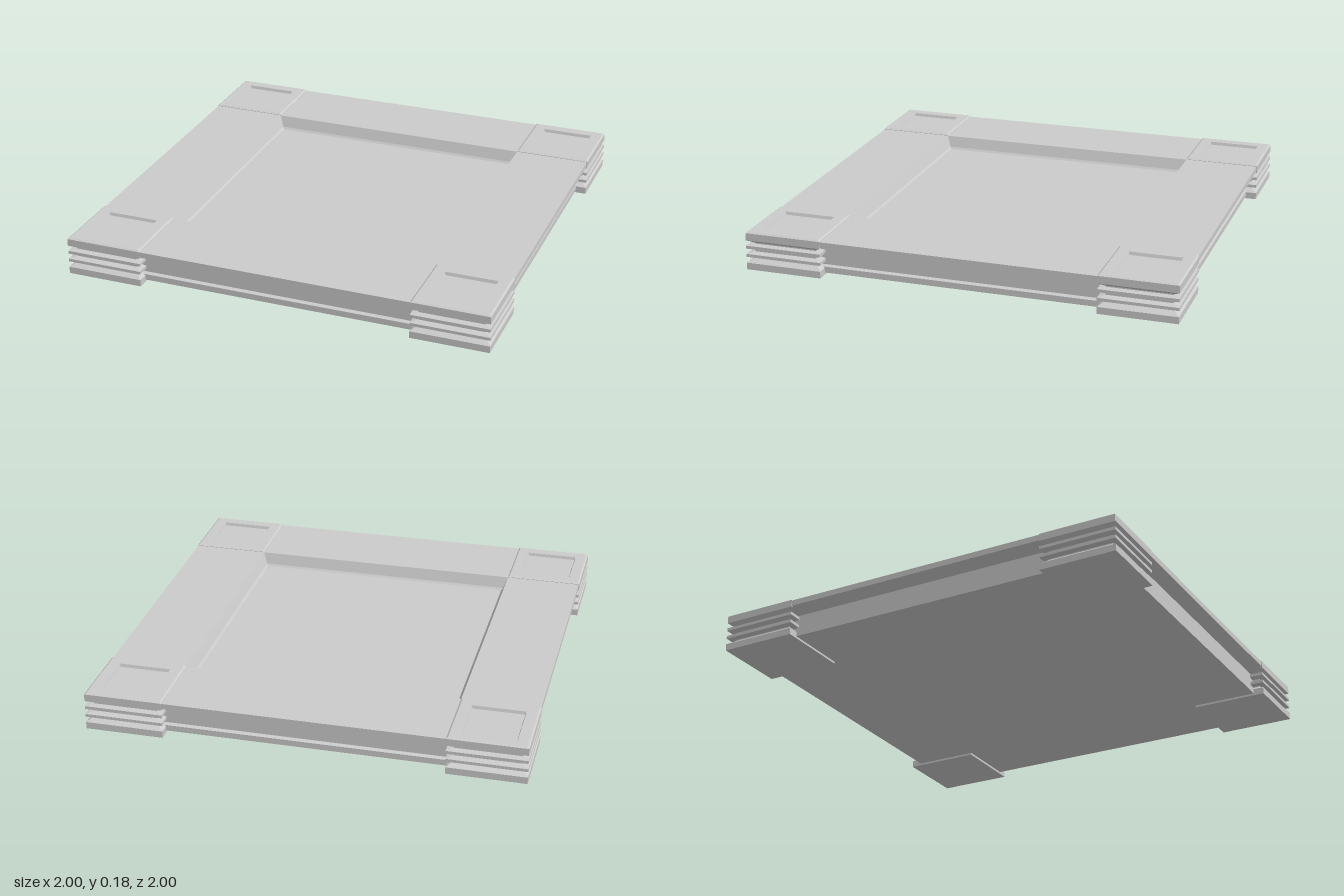
import * as THREE from 'three';

const material = new THREE.MeshStandardMaterial({ color: 0xcccccc, flatShading: true });

// Square moulding: each profile point is [half width, height], bottom centre to top centre
function squareTurned(profile) {
  const points = profile.map(([r, y]) => new THREE.Vector2(r * Math.SQRT2, y));
  return new THREE.LatheGeometry(points, 4).rotateY(Math.PI / 4).toNonIndexed();
}

export function createModel() {
  const group = new THREE.Group();
  const add = (name, geometry) => {
    const mesh = new THREE.Mesh(geometry, material);
    mesh.name = name;
    group.add(mesh);
    return mesh;
  };

  // Floor of the tray
  const floor = add('floor', new THREE.BoxGeometry(1.3, 0.1, 1.3));
  floor.position.y = 0.06;

  // Four side rails: [distance from centre, height], with foot ledge, panel, cap and sloped inner face
  const railShape = new THREE.Shape([
    [0.612, 0.01], [0.95, 0.01], [0.95, 0.038], [0.935, 0.045], [0.935, 0.12],
    [0.997, 0.145], [0.997, 0.172], [0.64, 0.172], [0.62, 0.12], [0.612, 0.11],
  ].map(([r, y]) => new THREE.Vector2(r, y)));
  const length = 1.34; // the ends run into the corner blocks
  const railGeometry = new THREE.ExtrudeGeometry(railShape, { depth: length, bevelEnabled: false });
  railGeometry.translate(0, 0, -length / 2);
  ['leftRail', 'backRail', 'rightRail', 'frontRail'].forEach((name, i) => {
    add(name, railGeometry).rotation.y = i * Math.PI / 2;
  });

  // Corner blocks: plinth, two fins, cap and a recessed square panel on top
  const cornerGeometry = squareTurned([
    [0, 0], [0.18, 0], [0.18, 0.032],
    [0.15, 0.053], [0.15, 0.058], [0.18, 0.06], [0.18, 0.074],
    [0.15, 0.08], [0.15, 0.095], [0.18, 0.1], [0.18, 0.114],
    [0.15, 0.117], [0.15, 0.122], [0.18, 0.14], [0.18, 0.174],
    [0.172, 0.18], [0.122, 0.18], [0.117, 0.166], [0, 0.166],
  ]);
  for (const x of [-1, 1]) {
    for (const z of [-1, 1]) {
      const name = (z > 0 ? 'front' : 'back') + (x > 0 ? 'Left' : 'Right') + 'Corner';
      add(name, cornerGeometry).position.set(x * 0.82, 0, z * 0.82);
    }
  }
  return group;
}
